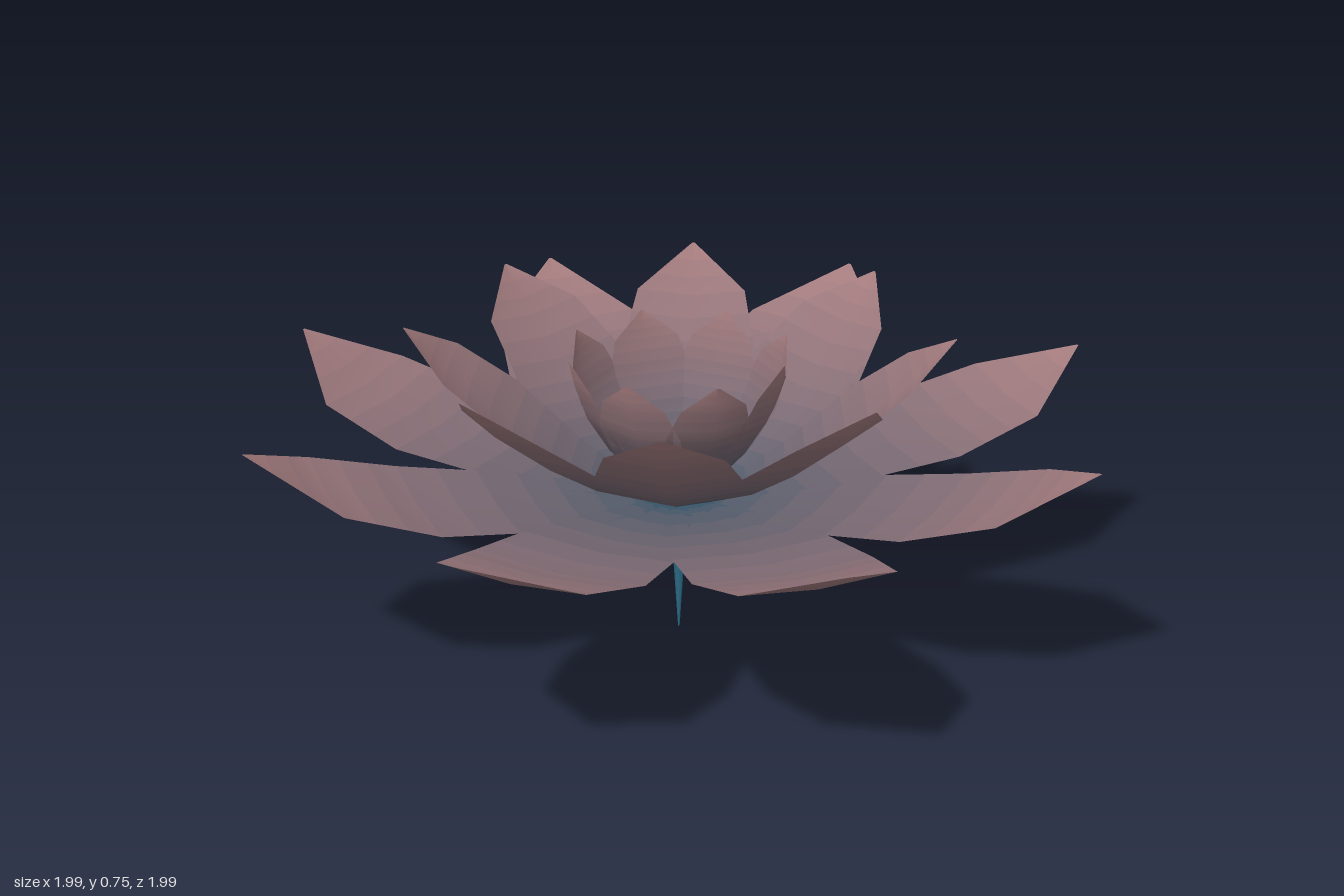
import * as THREE from 'three';

const STEPS = 3; // colour bands per profile segment
const BANDS = 5 * STEPS;
const BASE = new THREE.Color(0x1f5166);
const TIP = new THREE.Color(0xa57c7e);

// Petal materials fade from teal at the base to dusty pink at the tip
const bandMaterials = Array.from({ length: BANDS }, (_, i) =>
  new THREE.MeshStandardMaterial({
    color: BASE.clone().lerp(TIP, i / (BANDS - 1)),
    side: THREE.DoubleSide,
  }));

// Each ring: petal sections [radius, height, half width], edge lift and turn
const RINGS = [
  {
    name: 'outerPetal', turn: 12.5, lift: [0, 0.015], skew: 0.018,
    rows: [[0.02, 0.338, 0.02], [0.11, 0.342, 0.08], [0.35, 0.37, 0.175],
      [0.63, 0.412, 0.208], [0.84, 0.478, 0.178], [1.02, 0.588, 0.003]],
  },
  {
    name: 'middlePetal', turn: 35, lift: [-0.015, 0.025], skew: 0,
    rows: [[0.02, 0.342, 0.02], [0.11, 0.36, 0.07], [0.25, 0.425, 0.135],
      [0.385, 0.515, 0.167], [0.54, 0.64, 0.132], [0.635, 0.745, 0.003]],
  },
  {
    name: 'innerPetal', turn: 12.5, lift: [-0.02, 0.008], skew: 0,
    rows: [[0.02, 0.345, 0.02], [0.09, 0.39, 0.06], [0.17, 0.48, 0.09],
      [0.222, 0.565, 0.102], [0.25, 0.645, 0.078], [0.265, 0.71, 0.003]],
  },
];

// One petal growing along +z: three points across each section
function petalGeometry({ rows, lift, skew }) {
  const positions = [];
  const index = [];
  const widest = Math.max(...rows.map((row) => row[2]));
  for (let i = 0; i <= BANDS; i++) {
    const seg = Math.min(Math.floor(i / STEPS), rows.length - 2);
    const t = i / STEPS - seg;
    const [r, y, w] = rows[seg].map((v, k) => THREE.MathUtils.lerp(v, rows[seg + 1][k], t));
    const share = w / widest;
    for (const side of [-1, 0, 1]) {
      const cup = Math.abs(side) * share;
      positions.push(side * w + skew * share, y + lift[1] * cup, r + lift[0] * cup);
    }
  }
  const geometry = new THREE.BufferGeometry();
  for (let i = 0; i < BANDS; i++) {
    geometry.addGroup(index.length, 12, i);
    for (let c = 0; c < 2; c++) {
      const a = i * 3 + c;
      index.push(a, a + 3, a + 1, a + 1, a + 3, a + 4);
    }
  }
  geometry.setAttribute('position', new THREE.Float32BufferAttribute(positions, 3));
  geometry.setIndex(index);
  geometry.computeVertexNormals();
  return geometry;
}

export function createModel() {
  const flower = new THREE.Group();
  flower.name = 'flower';

  // Three rings of eight petals, each turned half a step from the next
  for (const ring of RINGS) {
    const group = new THREE.Group();
    group.name = ring.name + 'Ring';
    const geometry = petalGeometry(ring);
    for (let i = 0; i < 8; i++) {
      const petal = new THREE.Mesh(geometry, bandMaterials);
      petal.name = ring.name;
      petal.rotation.y = THREE.MathUtils.degToRad(ring.turn + i * 45);
      group.add(petal);
    }
    flower.add(group);
  }

  // Short stem tapering to a point
  const stem = new THREE.Mesh(
    new THREE.CylinderGeometry(0.024, 0.002, 0.345, 8),
    new THREE.MeshStandardMaterial({ color: 0x2b6a84 }));
  stem.name = 'stem';
  stem.position.y = 0.1725;
  flower.add(stem);

  return flower;
}
